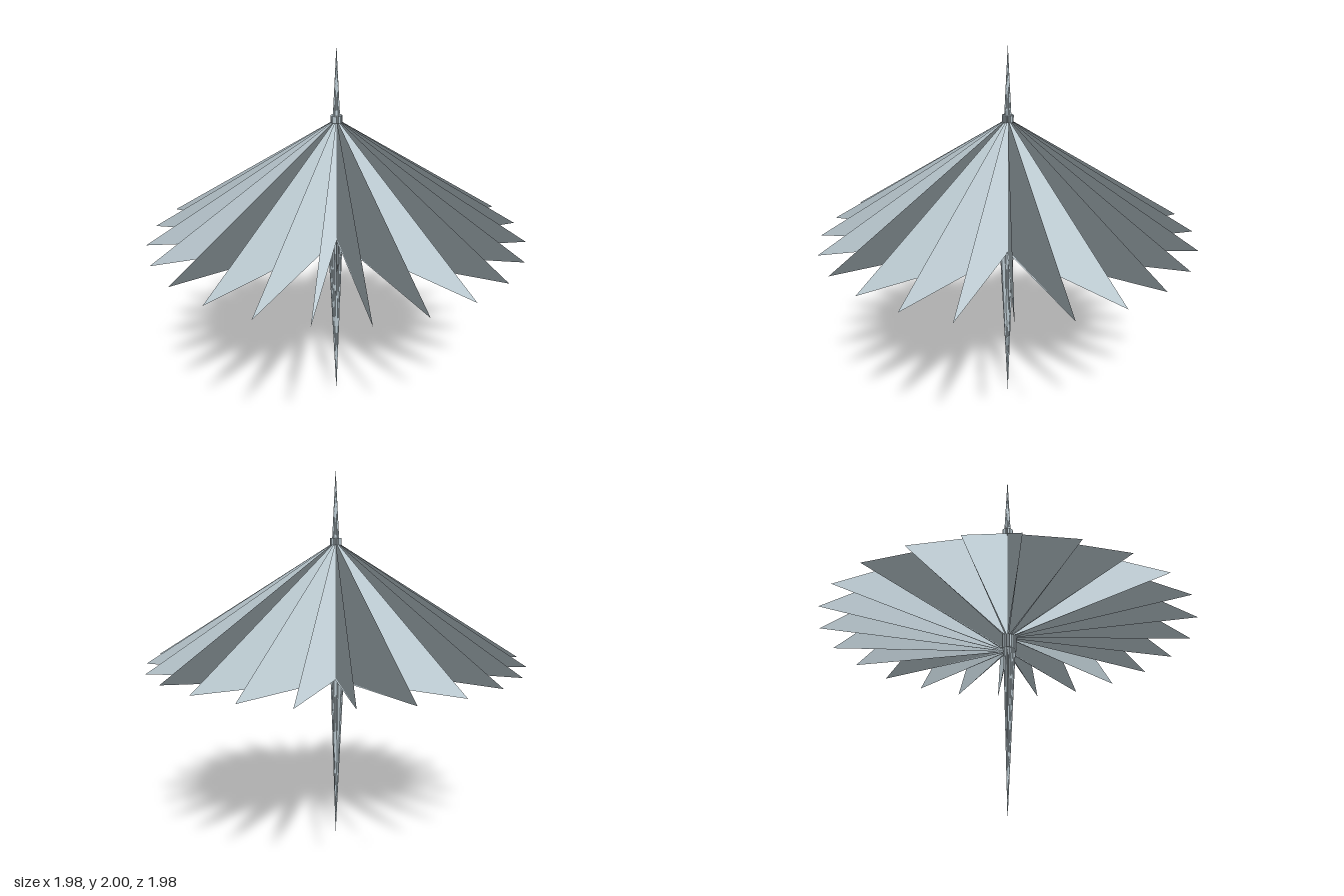
import * as THREE from 'three';

const BLADES = 24;

// Half profiles as [radius, height]
const finialProfile = [[0, 2], [0.018, 1.65], [0.03, 1.65], [0.03, 1.615], [0, 1.615]];
const frontCanopy = [[0, 1.633], [1, 1], [0.05, 0.975], [0, 0.975]];
const backCanopy = [[0, 1.633], [1, 1], [0.05, 0.9], [0, 0.9]];
const frontSpike = [[0, 0.975], [0.05, 0.975], [0.048, 0.9], [0.043, 0.9], [0, 0]];
const backSpike = [[0, 0.9], [0.02, 0.9], [0, 0]];

// Thin upright blade: thickest near the hub, tapering to nothing at the tips
function bladeGeometry(profile, softShading = false) {
  const shape = new THREE.Shape(profile.map(([r, y]) => new THREE.Vector2(r, y)));
  const geo = new THREE.ExtrudeGeometry(shape, { depth: 1, bevelEnabled: false });
  const pos = geo.attributes.position;
  for (let i = 0; i < pos.count; i++) {
    const r = pos.getX(i);
    const width = 0.01 * (1 - r) * Math.min(1, r / 0.05);
    pos.setZ(i, (pos.getZ(i) - 0.5) * width);
    // canopy blades shade together like one smooth sloping roof
    if (softShading) geo.attributes.normal.setXYZ(i, 0.6, 0.8, 0);
  }
  return geo;
}

export function createModel() {
  const group = new THREE.Group();
  group.name = 'bladedParasol';
  // double-sided because the blades thin out to a bare sheet
  const steel = new THREE.MeshStandardMaterial({ color: 0xb8c6cd, side: THREE.DoubleSide });
  steel.name = 'paleSteel';

  const finial = bladeGeometry(finialProfile);
  const front = { canopy: bladeGeometry(frontCanopy, true), spike: bladeGeometry(frontSpike), finial };
  const back = { canopy: bladeGeometry(backCanopy, true), spike: bladeGeometry(backSpike), finial };

  // Ring of radial blades; the front half has a shallower lower edge
  for (let i = 0; i < BLADES; i++) {
    const angle = ((i + 0.5) / BLADES) * Math.PI * 2;
    const isFront = Math.sin(angle) > 0;
    const blade = new THREE.Group();
    blade.name = (isFront ? 'frontBlade' : 'backBlade') + (i + 1);
    blade.rotation.y = -angle;
    for (const [name, geo] of Object.entries(isFront ? front : back)) {
      const part = new THREE.Mesh(geo, steel);
      part.name = name;
      blade.add(part);
    }
    group.add(blade);
  }
  return group;
}
